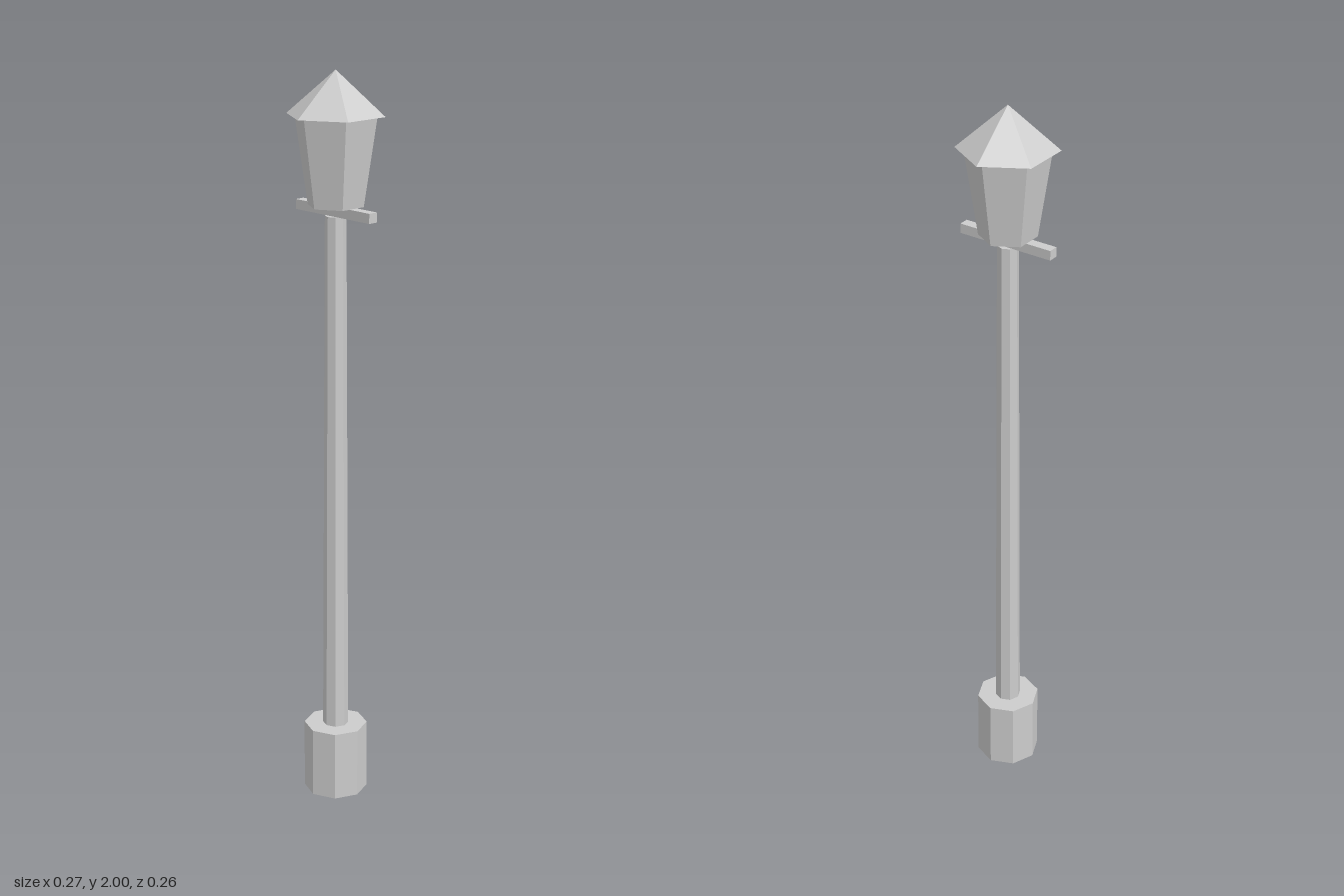
import * as THREE from 'three';

export function createModel() {
  const group = new THREE.Group();
  const grey = new THREE.MeshStandardMaterial({ color: 0xcccccc });
  grey.name = 'grey metal';
  grey.flatShading = true;

  function add(name, geometry, bottom, top) {
    const mesh = new THREE.Mesh(geometry, grey);
    mesh.name = name;
    mesh.position.y = (bottom + top) / 2;
    group.add(mesh);
  }

  // Faceted, tapered prism standing between two heights
  function prism(name, sides, rTop, rBottom, bottom, top) {
    add(name, new THREE.CylinderGeometry(rTop, rBottom, top - bottom, sides), bottom, top);
  }

  // Octagonal plinth and tapering post
  prism('base', 8, 0.087, 0.087, 0, 0.195);
  prism('post', 8, 0.028, 0.035, 0.195, 1.628);

  // Ladder rest
  add('crossbar', new THREE.BoxGeometry(0.273, 0.026, 0.027), 1.628, 1.654);

  // Hexagonal lantern flaring up to an overhanging pointed roof
  prism('lantern', 6, 0.11, 0.075, 1.654, 1.886);
  add('roof', new THREE.ConeGeometry(0.131, 0.114, 6), 1.886, 2);

  return group;
}
